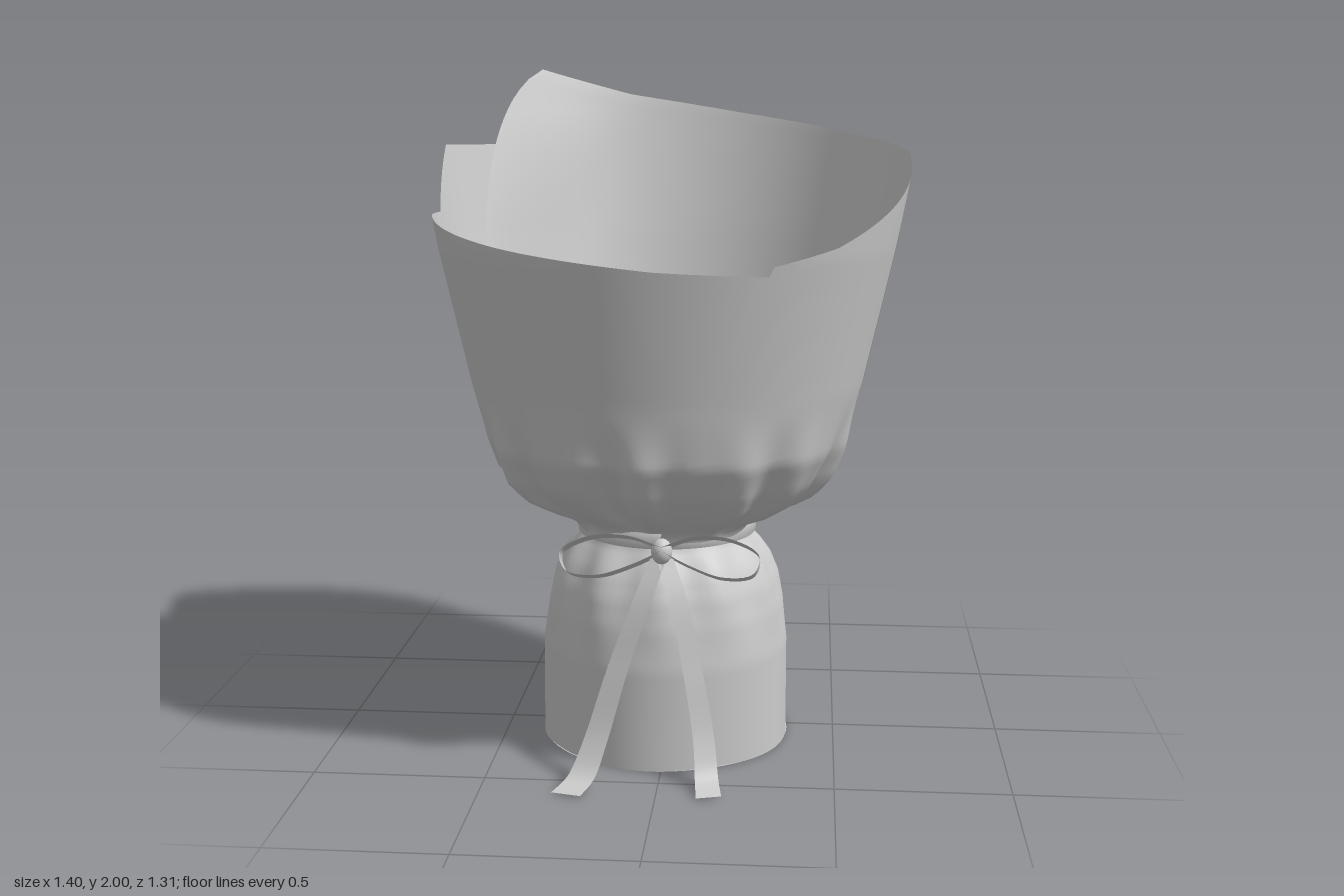
import * as THREE from 'three';
import { mergeVertices } from 'three/addons/utils/BufferGeometryUtils.js';

const material = new THREE.MeshStandardMaterial({ color: 0xcccccc, side: THREE.DoubleSide });
const DEG = Math.PI / 180;

// Linear lookup in rows of [key, value, value, ...]
function lookup(rows, key, col = 1) {
  if (key <= rows[0][0]) return rows[0][col];
  for (let i = 1; i < rows.length; i++) {
    const a = rows[i - 1], b = rows[i];
    if (key <= b[0]) return a[col] + (b[col] - a[col]) * (key - a[0]) / (b[0] - a[0]);
  }
  return rows[rows.length - 1][col];
}

// Smooth grid surface from fn(u, v) -> [x, y, z]
function surface(name, nu, nv, fn) {
  const pos = [], index = [];
  for (let i = 0; i <= nu; i++) {
    for (let j = 0; j <= nv; j++) {
      pos.push(...fn(i / nu, j / nv));
      if (i < nu && j < nv) {
        const a = i * (nv + 1) + j, b = a + nv + 1;
        index.push(a, b, a + 1, b, b + 1, a + 1);
      }
    }
  }
  let geo = new THREE.BufferGeometry();
  geo.setAttribute('position', new THREE.Float32BufferAttribute(pos, 3));
  geo.setIndex(index);
  geo = mergeVertices(geo, 1e-5);
  geo.computeVertexNormals();
  const mesh = new THREE.Mesh(geo, material);
  mesh.name = name;
  return mesh;
}

// Cup section by height: y, front z, back z, +x side, -x side
const cup = [
  [0.64, 0.31, -0.19, 0.24, -0.26],
  [0.69, 0.33, -0.21, 0.26, -0.28],
  [0.72, 0.38, -0.28, 0.35, -0.35],
  [0.76, 0.43, -0.35, 0.42, -0.43],
  [0.82, 0.49, -0.40, 0.47, -0.49],
  [0.92, 0.555, -0.435, 0.52, -0.53],
  [1.1, 0.585, -0.49, 0.575, -0.58],
  [1.5, 0.665, -0.575, 0.665, -0.67],
  [1.9, 0.71, -0.665, 0.745, -0.74],
  [2.0, 0.72, -0.685, 0.76, -0.75],
];

// Gathered folds, strongest just above the tie
function folds(a, y) {
  const k = THREE.MathUtils.smoothstep(y, 0.66, 0.76) * (1 - THREE.MathUtils.smoothstep(y, 0.78, 1.08));
  return k * (0.018 * Math.cos(13 * a + 0.6) + 0.010 * Math.cos(21 * a + 2));
}

// Point on the cup at angle a (0 = front, 90 degrees = +x)
function cupPoint(deg, y, offset) {
  const a = deg * DEG;
  const [f, b, r, l] = [1, 2, 3, 4].map(c => lookup(cup, y, c));
  const o = offset + folds(a, y);
  return [
    (r + l) / 2 + ((r - l) / 2 + o) * Math.sin(a), y,
    (f + b) / 2 + ((f - b) / 2 + o) * Math.cos(a),
  ];
}

// Paper sheet: slanted side edges, rim height by angle, offset by fraction
function sheet(name, { start, end, rim, offset }) {
  return surface(name, 110, 44, (u, v) => {
    const topDeg = THREE.MathUtils.lerp(start(1), end(1), u);
    const deg = THREE.MathUtils.lerp(start(v), end(v), u);
    const y = 0.66 + (lookup(rim, topDeg) - 0.66) * v;
    return cupPoint(deg, y, offset(u, v));
  });
}

// Flat ribbon along a smooth path; width vector may turn from w0 to w1
function ribbon(name, points, w0, w1 = w0) {
  const curve = new THREE.CatmullRomCurve3(points.map(p => new THREE.Vector3(...p)));
  const a = new THREE.Vector3(...w0), b = new THREE.Vector3(...w1);
  return surface(name, 48, 2, (u, v) =>
    curve.getPoint(u).addScaledVector(a.clone().lerp(b, u), v - 0.5).toArray());
}

export function createModel() {
  const model = new THREE.Group();
  model.name = 'wrappedBouquetPaper';

  // Rounded foot below the tie
  const footProfile = [
    [0, 0.372], [0.3, 0.37], [0.42, 0.355], [0.5, 0.336], [0.56, 0.31],
    [0.6, 0.283], [0.64, 0.25], [0.68, 0.245],
  ];
  model.add(surface('foot', 96, 34, (u, v) => {
    const a = u * 2 * Math.PI, y = 0.68 * v;
    const k = THREE.MathUtils.smoothstep(y, 0.3, 0.56) * (1 - THREE.MathUtils.smoothstep(y, 0.58, 0.66));
    const r = lookup(footProfile, y) + k * 0.009 * Math.cos(11 * a) + 0.004 * Math.cos(5 * a + 1) * (1 - v);
    return [-0.014 + r * Math.sin(a), y, 0.043 + 0.015 * v + r * Math.cos(a)];
  }));
  const base = new THREE.Mesh(new THREE.CircleGeometry(0.372, 64), material);
  base.rotation.x = Math.PI / 2;
  base.position.set(-0.014, 0.002, 0.043);
  base.name = 'footBase';
  model.add(base);

  // Tall back sheet: overlaps the front diagonally and curls in at its far end
  model.add(sheet('tallSheet', {
    start: v => 28 * v,
    end: v => 219 + 80 * Math.pow(1 - v, 0.75),
    rim: [[28, 1.49], [45, 1.53], [70, 1.64], [97, 1.76], [130, 1.80], [165, 1.86], [195, 1.92], [219, 2.0]],
    offset: (u, v) => 0.014 - 0.03 * THREE.MathUtils.smoothstep(u, 0.1, 0.4)
      - 0.28 * THREE.MathUtils.smoothstep(u, 0.8, 1) * v * (1 - v),
  }));

  // Middle sheet: low rim round the back, rising to a corner on the -x side
  model.add(sheet('middleSheet', {
    start: () => 92,
    end: v => 257 + 80 * (1 - v),
    rim: [[92, 1.53], [110, 1.54], [160, 1.56], [190, 1.6], [212, 1.69], [228, 1.765], [257, 1.775]],
    offset: () => 0,
  }));

  // Front sheet: outermost on the -x side, tucked under the tall sheet at +x
  model.add(sheet('frontSheet', {
    start: () => 222,
    end: v => 452 - 50 * (1 - v),
    rim: [[222, 1.57], [280, 1.585], [320, 1.53], [360, 1.48], [388, 1.46], [452, 1.46]],
    offset: u => 0.014 - 0.026 * THREE.MathUtils.smoothstep(u, 0.45, 0.75),
  }));

  // Tie band round the neck
  const bandProfile = [[0.25, 0.638], [0.268, 0.642], [0.268, 0.686], [0.25, 0.69], [0.25, 0.638]];
  const band = new THREE.Mesh(
    new THREE.LatheGeometry(bandProfile.map(p => new THREE.Vector2(...p)), 64), material);
  band.position.set(-0.01, 0, 0.06);
  band.name = 'tieBand';
  model.add(band);

  // Bow: two loops, a knot and two tails
  const bow = new THREE.Group();
  bow.name = 'bow';
  for (const s of [-1, 1]) {
    bow.add(ribbon(s < 0 ? 'rightLoop' : 'leftLoop', [
      [0, 0.655, 0.37], [s * 0.09, 0.695, 0.40], [s * 0.2, 0.70, 0.43], [s * 0.28, 0.655, 0.43],
      [s * 0.265, 0.60, 0.43], [s * 0.18, 0.585, 0.42], [s * 0.08, 0.61, 0.39], [0, 0.645, 0.37],
    ], [0, 0.03, 0.07]));
  }
  const knot = new THREE.Mesh(new THREE.SphereGeometry(0.034, 20, 14), material);
  knot.scale.set(0.9, 1.1, 0.9);
  knot.position.set(0, 0.65, 0.375);
  knot.name = 'knot';
  bow.add(knot);
  bow.add(ribbon('rightTail', [
    [-0.005, 0.64, 0.365], [-0.05, 0.52, 0.415], [-0.12, 0.32, 0.45], [-0.18, 0.12, 0.49],
    [-0.215, 0.03, 0.54], [-0.25, 0.006, 0.61],
  ], [0.045, 0, 0.01], [0.085, 0, 0.02]));
  bow.add(ribbon('leftTail', [
    [0.005, 0.64, 0.365], [0.05, 0.52, 0.415], [0.095, 0.32, 0.45], [0.13, 0.12, 0.485],
    [0.14, 0.03, 0.53], [0.15, 0.006, 0.60],
  ], [0.045, 0, -0.01], [0.07, 0, -0.02]));
  model.add(bow);

  return model;
}
